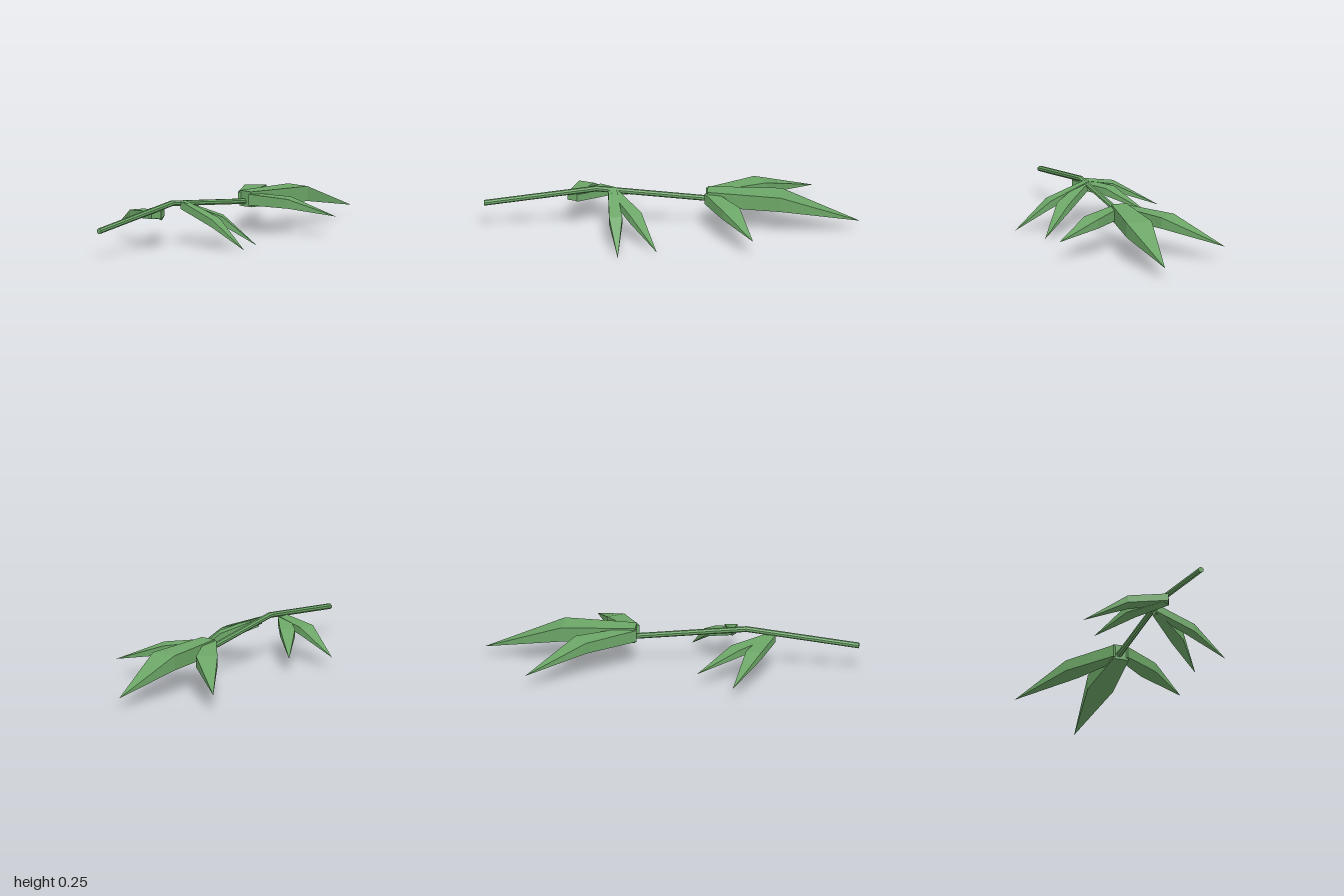
import * as THREE from 'three';

const green = new THREE.MeshStandardMaterial({ color: 0x6ca667, flatShading: true });
const RECT = [[1, 1], [-1, 1], [-1, -1], [1, -1]];
const OCTAGON = Array.from({ length: 8 }, (_, i) => {
  const a = (i + 0.5) * Math.PI / 4;
  return [Math.cos(a) / 0.924, Math.sin(a) / 0.924];
});

// Faceted solid through upright sections { p: [x, y, z], w, h }; w = 0 makes a pointed end
function loft(name, outline, sections) {
  const first = sections[0].p, last = sections[sections.length - 1].p;
  const dir = new THREE.Vector3(last[0] - first[0], 0, last[2] - first[2]).normalize();
  const side = new THREE.Vector3(0, 1, 0).cross(dir);
  const rings = sections.map(({ p, w, h }) => outline.map(([u, v]) =>
    new THREE.Vector3(...p).addScaledVector(side, u * w / 2).add(new THREE.Vector3(0, v * h / 2, 0))));
  const pos = [];
  const tri = (...pts) => pts.forEach(q => pos.push(q.x, q.y, q.z));
  const n = outline.length;
  for (let k = 0; k < rings.length - 1; k++) {
    const a = rings[k], b = rings[k + 1];
    for (let i = 0; i < n; i++) {
      const j = (i + 1) % n;
      tri(a[i], a[j], b[j]);
      if (sections[k + 1].w > 0) tri(a[i], b[j], b[i]);
    }
  }
  const end = rings[rings.length - 1];
  for (let i = 1; i < n - 1; i++) {
    tri(rings[0][0], rings[0][i + 1], rings[0][i]);
    if (sections[sections.length - 1].w > 0) tri(end[0], end[i], end[i + 1]);
  }
  const geo = new THREE.BufferGeometry();
  geo.setAttribute('position', new THREE.Float32BufferAttribute(pos, 3));
  geo.computeVertexNormals();
  const mesh = new THREE.Mesh(geo, green);
  mesh.name = name;
  return mesh;
}

// Leaf: blunt base, widest fold in the middle, sharp drooping tip
function leaf(name, base, baseW, baseH, mid, midW, midH, tip) {
  return loft(name, RECT, [
    { p: base, w: baseW, h: baseH },
    { p: mid, w: midW, h: midH },
    { p: tip, w: 0, h: 0 },
  ]);
}

export function createModel() {
  const group = new THREE.Group();
  group.name = 'leafyTwig';

  // Bent stem
  group.add(loft('stem', OCTAGON, [
    { p: [-0.025, 0.157, 1], w: 0.03, h: 0.028 },
    { p: [-0.02, 0.235, 0.4], w: 0.03, h: 0.028 },
    { p: [-0.01, 0.175, -0.2], w: 0.03, h: 0.028 },
  ]));

  // Three leaves at the far end
  group.add(
    leaf('endLeafMiddle', [0, 0.19, -0.19], 0.085, 0.083, [0.04, 0.182, -0.58], 0.14, 0.08, [0.06, 0.065, -1]),
    leaf('endLeafRight', [-0.02, 0.19, -0.2], 0.06, 0.065, [-0.165, 0.185, -0.475], 0.114, 0.06, [-0.38, 0.09, -0.76]),
    leaf('endLeafLeft', [0.02, 0.19, -0.2], 0.06, 0.06, [0.205, 0.175, -0.31], 0.1, 0.05, [0.435, 0.11, -0.42]),
  );

  // Pair of side leaves on the left
  group.add(
    leaf('sideLeafLeftOuter', [-0.01, 0.22, 0.317], 0.045, 0.042, [0.205, 0.142, 0.305], 0.07, 0.042, [0.4, 0.01, 0.3]),
    leaf('sideLeafLeftInner', [-0.005, 0.215, 0.315], 0.045, 0.042, [0.165, 0.14, 0.197], 0.075, 0.045, [0.312, 0.003, 0.09]),
  );

  // Pair of side leaves on the right
  group.add(
    leaf('sideLeafRightOuter', [-0.02, 0.188, 0.53], 0.055, 0.04, [-0.22, 0.17, 0.448], 0.085, 0.04, [-0.44, 0.068, 0.35]),
    leaf('sideLeafRightInner', [-0.03, 0.185, 0.52], 0.055, 0.04, [-0.163, 0.168, 0.35], 0.08, 0.04, [-0.295, 0.085, 0.15]),
  );

  return group;
}
